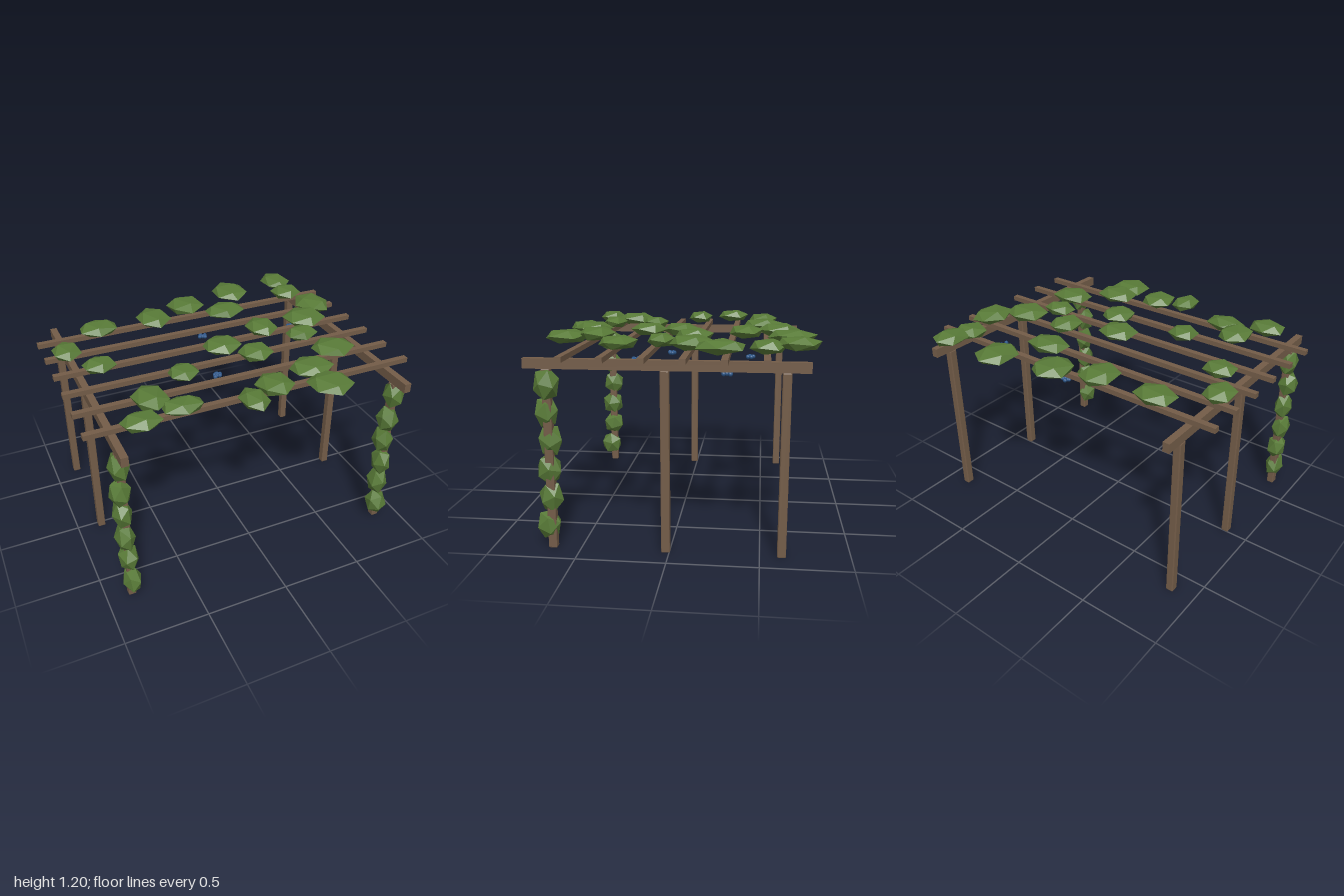
import * as THREE from 'three';
import { RoundedBoxGeometry } from 'three/addons/geometries/RoundedBoxGeometry.js';

const wood = new THREE.MeshStandardMaterial({ color: 0x735c48, flatShading: true });
wood.name = 'wood';
const leaf = new THREE.MeshStandardMaterial({ color: 0x587a37, flatShading: true });
leaf.name = 'leafGreen';
const berry = new THREE.MeshStandardMaterial({ color: 0x2b5689 });
berry.name = 'grapeBlue';

// Small seeded generator, values from -1 to 1
function seeded(seed) {
  let s = seed;
  return () => {
    s = (s * 16807) % 2147483647;
    return (s / 2147483647) * 2 - 1;
  };
}

// Twenty-sided lump resting on a face, hexagonal from above with a corner toward +z
function makeLump() {
  const g = new THREE.IcosahedronGeometry(1, 0);
  g.applyQuaternion = null;
  const q = new THREE.Quaternion().setFromUnitVectors(
    new THREE.Vector3(1, 1, 1).normalize(), new THREE.Vector3(0, 1, 0));
  g.applyMatrix4(new THREE.Matrix4().makeRotationFromQuaternion(q));
  const p = g.attributes.position;
  for (let i = 0; i < p.count; i++) {
    if (Math.abs(p.getY(i)) < 0.4) {
      g.rotateY(-Math.atan2(p.getX(i), p.getZ(i)));
      break;
    }
  }
  return g;
}

export function createModel() {
  const model = new THREE.Group();
  model.name = 'pergola';
  const rand = seeded(4711);

  const add = (name, geometry, material, x, y, z, parent = model) => {
    const mesh = new THREE.Mesh(geometry, material);
    mesh.name = name;
    mesh.position.set(x, y, z);
    parent.add(mesh);
    return mesh;
  };
  const group = (name) => {
    const g = new THREE.Group();
    g.name = name;
    model.add(g);
    return g;
  };

  // Posts and the long beams on them
  const postGeo = new RoundedBoxGeometry(0.046, 1.025, 0.049, 1, 0.006);
  const beamGeo = new THREE.BoxGeometry(0.041, 0.056, 1.53);
  for (const [side, x] of [['left', 0.85], ['right', -0.85]]) {
    for (const z of [0.66, 0.02, -0.62]) add(side + 'Post', postGeo, wood, x, 0.5125, z);
    add(side + 'Beam', beamGeo, wood, x, 1.052, 0.02);
  }

  // Cross slats
  const slatGeo = new THREE.BoxGeometry(2, 0.03, 0.036);
  for (let i = 0; i < 6; i++) add('slat', slatGeo, wood, 0, 1.095, 0.55 - i * 0.213);

  // A leaf lump tilted a little, then fitted to the given half sizes
  const lump = makeLump();
  const addLump = (name, parent, x, y, z, hx, hy, hz, tilt, yaw = 0) => {
    const g = lump.clone();
    g.rotateY(yaw + rand() * 0.1);
    g.rotateX(rand() * tilt);
    g.rotateZ(rand() * tilt);
    g.computeBoundingBox();
    g.center();
    const b = g.boundingBox.getSize(new THREE.Vector3());
    g.scale((2 * hx) / b.x, (2 * hy) / b.y, (2 * hz) / b.z);
    add(name, g, leaf, x, y, z, parent);
  };

  // Roof foliage: x, z, half width, half depth, height
  const canopy = group('roofFoliage');
  const clumps = [
    [-0.61, -0.49, 0.12, 0.1, 1.15], [-0.24, -0.49, 0.1, 0.13, 1.15],
    [0.02, -0.585, 0.115, 0.135, 1.15], [0.385, -0.66, 0.11, 0.145, 1.155],
    [0.755, -0.68, 0.085, 0.12, 1.163], [0.755, -0.52, 0.09, 0.1, 1.145],
    [0.225, -0.39, 0.125, 0.1, 1.16], [-0.87, -0.27, 0.08, 0.11, 1.15],
    [0.82, -0.27, 0.115, 0.13, 1.15], [0.345, -0.09, 0.09, 0.115, 1.15],
    [0.665, -0.105, 0.125, 0.125, 1.15], [-0.735, -0.035, 0.095, 0.085, 1.15],
    [0.02, 0.025, 0.115, 0.115, 1.145], [0.545, 0.08, 0.1, 0.08, 1.145],
    [0.155, 0.21, 0.095, 0.115, 1.16], [-0.32, 0.24, 0.085, 0.09, 1.15],
    [0.63, 0.31, 0.12, 0.11, 1.14], [-0.585, 0.42, 0.095, 0.135, 1.15],
    [-0.445, 0.545, 0.115, 0.085, 1.137], [-0.7, 0.615, 0.11, 0.09, 1.15],
    [-0.075, 0.655, 0.075, 0.11, 1.145], [0.09, 0.575, 0.105, 0.125, 1.155],
    [0.375, 0.49, 0.12, 0.115, 1.155], [0.395, 0.665, 0.12, 0.13, 1.14],
  ];
  for (const [x, z, hx, hz, y] of clumps) {
    addLump('roofLeafClump', canopy, x, y, z, hx, 0.038, hz, 0.2, hx === 0.115 && x > 0.8 ? 0.5 : 0);
  }

  // Vines climbing the two front posts, from the bottom up
  const heights = [0.13, 0.295, 0.455, 0.62, 0.78, 0.94];
  const depths = [0.685, 0.665, 0.67, 0.66, 0.675, 0.66];
  const vines = {
    leftVine: [0.835, 0.835, 0.835, 0.83, 0.83, 0.86],
    rightVine: [-0.845, -0.85, -0.86, -0.86, -0.865, -0.855],
  };
  for (const [name, xs] of Object.entries(vines)) {
    const vine = group(name);
    xs.forEach((x, i) =>
      addLump('vineLeafClump', vine, x, heights[i], depths[i], 0.058, 0.082, 0.071, 0.3, rand()));
  }

  // Flat bunches of grapes hanging under the slats: x, z, half spread in x and z, count
  const grapeGeo = new THREE.SphereGeometry(0.0135, 8, 6);
  const bunches = [
    [0.075, -0.42, 0.02, 0.02, 7], [0.255, 0.28, 0.042, 0.02, 9],
    [0.69, -0.3, 0.02, 0.02, 7], [-0.043, 0.093, 0.02, 0.02, 7],
  ];
  for (const [x, z, sx, sz, n] of bunches) {
    const bunch = group('grapeBunch');
    for (let i = 0; i < n; i++) {
      add('grape', grapeGeo, berry, x + sx * ((2 * i) / (n - 1) - 1), 0.985, z + sz * rand(), bunch);
    }
  }
  return model;
}
